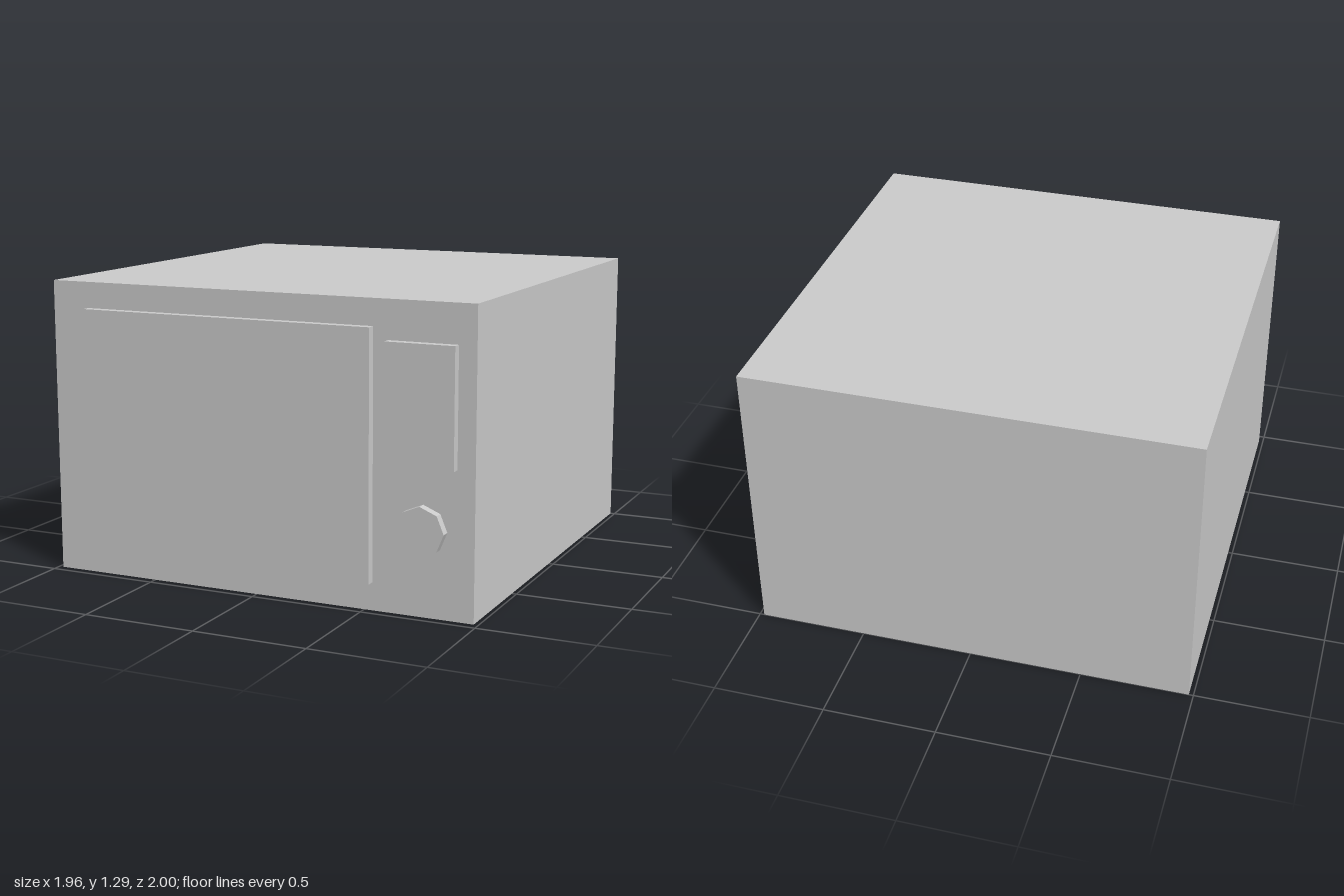
import * as THREE from 'three';

const FACE_Z = 0.96; // front face of the cabinet
const RAISED = 0.04; // how far the front parts stand out

export function createModel() {
  const model = new THREE.Group();
  model.name = 'microwaveOven';
  const material = new THREE.MeshStandardMaterial({ color: 0xcccccc, flatShading: true });

  const add = (name, geometry, x, y, z) => {
    const mesh = new THREE.Mesh(geometry, material);
    mesh.name = name;
    mesh.position.set(x, y, z);
    model.add(mesh);
    return mesh;
  };

  // Box given by its extents
  const addBox = (name, [x0, x1], [y0, y1], [z0, z1]) =>
    add(name, new THREE.BoxGeometry(x1 - x0, y1 - y0, z1 - z0),
      (x0 + x1) / 2, (y0 + y1) / 2, (z0 + z1) / 2);

  const raised = [FACE_Z, FACE_Z + RAISED];

  // Cabinet, door and control panel
  addBox('cabinet', [-0.98, 0.98], [0, 1.29], [-1, FACE_Z]);
  addBox('door', [-0.807, 0.537], [0.12, 1.177], raised);
  addBox('controlPanel', [0.602, 0.903], [0.625, 1.125], raised);

  // Eight-sided dial, axis facing forward
  const dial = new THREE.CylinderGeometry(0.105, 0.105, RAISED, 8).rotateX(Math.PI / 2);
  add('dial', dial, 0.758, 0.365, FACE_Z + RAISED / 2);

  return model;
}
